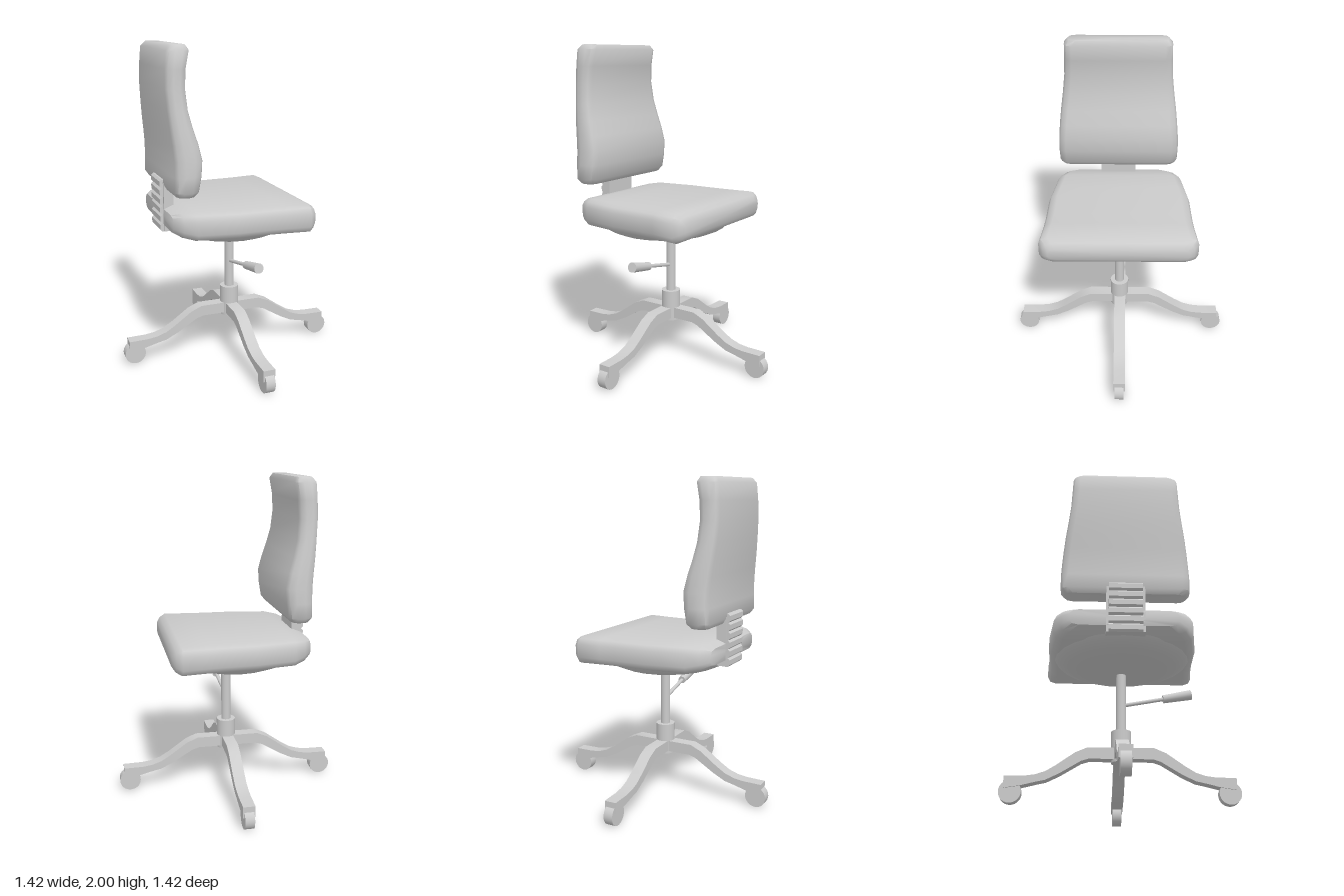
import * as THREE from 'three';
import { mergeVertices, toCreasedNormals } from 'three/addons/utils/BufferGeometryUtils.js';

const material = new THREE.MeshStandardMaterial({ color: 0xcccccc });

function add(parent, name, geometry, x = 0, y = 0, z = 0) {
  const mesh = new THREE.Mesh(geometry, material);
  mesh.name = name;
  mesh.position.set(x, y, z);
  parent.add(mesh);
  return mesh;
}

// Rectangle with eased corners, counter-clockwise in (u, v)
function section(u0, u1, v0, v1, cu, cv) {
  const points = [];
  const corners = [[u1, v1, 1, 1], [u0, v1, -1, 1], [u0, v0, -1, -1], [u1, v0, 1, -1]];
  corners.forEach(([u, v, su, sv], k) => {
    for (let i = 0; i <= 2; i++) {
      const a = (k + i / 2) * Math.PI / 2;
      points.push([u - su * cu + Math.cos(a) * cu, v - sv * cv + Math.sin(a) * cv]);
    }
  });
  return points;
}

// Skin over equally sized closed rings of Vector3, with capped ends
function loft(rings) {
  const n = rings[0].length, position = [], index = [];
  rings.forEach(r => r.forEach(p => position.push(p.x, p.y, p.z)));
  for (let i = 0; i < rings.length - 1; i++) {
    for (let j = 0; j < n; j++) {
      const a = i * n + j, b = i * n + (j + 1) % n;
      index.push(a, b, b + n, a, b + n, a + n);
    }
  }
  [0, rings.length - 1].forEach(i => {
    const mid = rings[i].reduce((s, p) => s.add(p), new THREE.Vector3()).divideScalar(n);
    const c = position.length / 3;
    position.push(mid.x, mid.y, mid.z);
    for (let j = 0; j < n; j++) {
      const a = i * n + j, b = i * n + (j + 1) % n;
      if (i === 0) index.push(c, b, a); else index.push(c, a, b);
    }
  });
  const g = new THREE.BufferGeometry();
  g.setAttribute('position', new THREE.Float32BufferAttribute(position, 3));
  g.setIndex(index);
  return toCreasedNormals(mergeVertices(g), 0.95);
}

function extrude(points, width) {
  const shape = new THREE.Shape(points.map(p => new THREE.Vector2(...p)));
  const g = new THREE.ExtrudeGeometry(shape, { depth: width, bevelEnabled: false });
  g.translate(0, 0, -width / 2);
  return toCreasedNormals(g, 0.6);
}

export function createModel() {
  const chair = new THREE.Group();
  chair.name = 'officeChair';

  // Seat cushion, swept back to front: x, half width, bottom, top
  const seat = [
    [-0.46, 0.32, 0.93, 1.03], [-0.41, 0.375, 0.905, 1.05], [-0.34, 0.415, 0.89, 1.06],
    [-0.2, 0.437, 0.89, 1.06], [-0.1, 0.453, 0.89, 1.06], [0.1, 0.458, 0.89, 1.06],
    [0.2, 0.465, 0.89, 1.06], [0.345, 0.482, 0.89, 1.06], [0.38, 0.455, 0.907, 1.045],
    [0.4, 0.425, 0.935, 1.015],
  ];
  add(chair, 'seatCushion', loft(seat.map(([x, w, y0, y1]) =>
    section(y0, y1, 0.005 - w, 0.005 + w, Math.min(0.045, (y1 - y0) * 0.3), 0.055)
      .map(([y, z]) => new THREE.Vector3(x, y, z)))));

  // Shallow dished pan under the seat
  const pan = [[0, 0.81], [0.12, 0.811], [0.23, 0.823], [0.32, 0.845], [0.385, 0.873], [0.41, 0.9], [0, 0.9]];
  const panGeometry = new THREE.LatheGeometry(pan.map(p => new THREE.Vector2(...p)), 24);
  panGeometry.scale(0.96, 1, 1.03);
  add(chair, 'seatPan', toCreasedNormals(panGeometry, 0.7), -0.03, 0, 0.005);

  // Curved backrest, swept upwards: y, rear x, front x, half width
  const back = [
    [1.15, -0.44, -0.335, 0.36], [1.18, -0.458, -0.312, 0.385], [1.27, -0.455, -0.297, 0.388],
    [1.36, -0.455, -0.29, 0.384], [1.45, -0.463, -0.31, 0.376], [1.54, -0.473, -0.338, 0.366],
    [1.64, -0.482, -0.362, 0.352], [1.76, -0.49, -0.372, 0.338], [1.87, -0.487, -0.365, 0.333],
    [1.97, -0.478, -0.345, 0.33], [2.0, -0.455, -0.36, 0.305],
  ];
  add(chair, 'backrest', loft(back.map(([y, x0, x1, w]) =>
    section(0.012 - w, 0.012 + w, x0, x1, 0.045, (x1 - x0) * 0.33)
      .map(([z, x]) => new THREE.Vector3(x, y, z)))));

  // Backrest support with a ribbed rear cover
  add(chair, 'backSupport', new THREE.BoxGeometry(0.06, 0.3, 0.23), -0.43, 1.04, 0.012);
  const ribs = [[-0.45, 0.885]];
  ribs.push([-0.45, 1.21]);
  for (let i = 5; i >= 0; i--) {
    const y = 0.885 + i * 0.054;
    ribs.push([-0.467, y + 0.054], [-0.48, y + 0.042], [-0.48, y + 0.012], [-0.467, y]);
  }
  add(chair, 'ribbedCover', extrude(ribs.reverse(), 0.2), 0, 0, 0.012);

  // Gas column and hub
  add(chair, 'column', new THREE.CylinderGeometry(0.03, 0.03, 0.54, 20), 0.003, 0.57, 0.003);
  add(chair, 'columnSleeve', new THREE.CylinderGeometry(0.06, 0.06, 0.12, 24), 0.003, 0.38, 0.003);
  add(chair, 'hub', new THREE.CylinderGeometry(0.06, 0.06, 0.09, 24), 0.003, 0.29, 0.003);

  // Height lever with grip
  const lever = new THREE.Group();
  lever.name = 'heightLever';
  lever.position.set(0.003, 0.61, 0.01);
  lever.quaternion.setFromUnitVectors(new THREE.Vector3(0, 1, 0),
    new THREE.Vector3(0.025, 0.088, 0.43).normalize());
  add(lever, 'leverRod', new THREE.CylinderGeometry(0.012, 0.012, 0.28, 10), 0, 0.14, 0);
  add(lever, 'leverGrip', new THREE.CylinderGeometry(0.031, 0.025, 0.18, 14), 0, 0.35, 0);
  chair.add(lever);

  // Four arms with castors
  const armProfile = [
    [0, 0.262], [0.19, 0.262], [0.235, 0.248], [0.36, 0.172], [0.44, 0.133], [0.5, 0.12],
    [0.58, 0.1], [0.68, 0.085], [0.68, 0.155], [0.56, 0.157], [0.5, 0.165], [0.44, 0.185],
    [0.38, 0.222], [0.27, 0.3], [0.2, 0.33], [0, 0.33],
  ];
  const armGeometry = extrude(armProfile, 0.074);
  const wheelGeometry = new THREE.CylinderGeometry(0.066, 0.066, 0.058, 28);
  wheelGeometry.rotateX(Math.PI / 2);
  for (let i = 0; i < 4; i++) {
    const leg = new THREE.Group();
    leg.name = 'baseLeg' + (i + 1);
    leg.rotation.y = i * Math.PI / 2;
    add(leg, 'arm', armGeometry);
    add(leg, 'castor', wheelGeometry, 0.642, 0.066, 0);
    chair.add(leg);
  }
  return chair;
}
